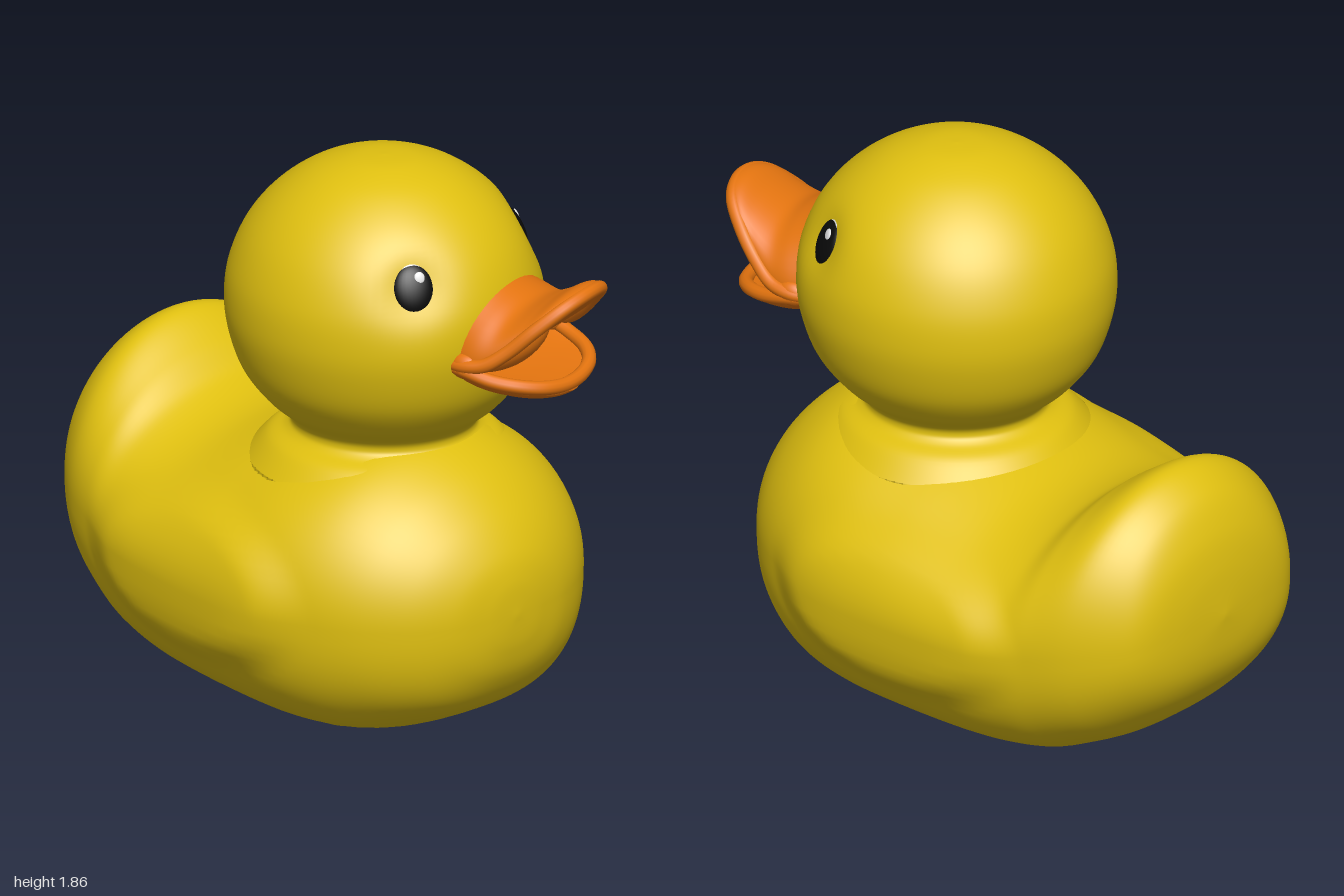
import * as THREE from 'three';

const material = (name, color) => Object.assign(new THREE.MeshStandardMaterial({ color }), { name });

// Smoothly interpolate rows of numbers (uniform Catmull-Rom in every column)
function sample(rows, steps) {
  const last = rows.length - 1, out = [];
  for (let i = 0; i <= steps; i++) {
    const f = (i / steps) * last, k = Math.min(Math.floor(f), last - 1), t = f - k;
    const a = rows[Math.max(k - 1, 0)], b = rows[k], c = rows[k + 1], d = rows[Math.min(k + 2, last)];
    out.push(b.map((_, j) => 0.5 * (2 * b[j] + (c[j] - a[j]) * t
      + (2 * a[j] - 5 * b[j] + 4 * c[j] - d[j]) * t * t
      + (3 * b[j] - a[j] - 3 * c[j] + d[j]) * t * t * t)));
  }
  return out;
}

// Closed smooth skin over a list of rings, capped at both ends
function loft(rings) {
  const n = rings[0].length, m = rings.length, index = [];
  const pts = rings.flat();
  for (const ring of [rings[0], rings[m - 1]]) {
    pts.push(ring.reduce((s, p) => s.add(p), new THREE.Vector3()).divideScalar(n));
  }
  for (let j = 0; j < n; j++) {
    const k = (j + 1) % n;
    for (let i = 0; i < m - 1; i++) {
      const a = i * n + j, b = i * n + k;
      index.push(a, b, a + n, b, b + n, a + n);
    }
    index.push(m * n, k, j, m * n + 1, (m - 1) * n + j, (m - 1) * n + k);
  }
  // Turn the skin outward if its signed volume is negative
  let volume = 0;
  const cross = new THREE.Vector3();
  for (let i = 0; i < index.length; i += 3) {
    volume += pts[index[i]].dot(cross.crossVectors(pts[index[i + 1]], pts[index[i + 2]]));
  }
  if (volume < 0) index.reverse();
  const geo = new THREE.BufferGeometry().setFromPoints(pts);
  geo.setIndex(index);
  geo.computeVertexNormals();
  return geo;
}

const ring = (n, fn) => Array.from({ length: n }, (_, i) => fn((i / n) * Math.PI * 2));
const power = (v, e) => Math.sign(v) * Math.pow(Math.abs(v), e);

// Body: sections along x, with flat base, upturned tail and raised wings
function bodyGeometry() {
  // x, bottom, top, half width, height of widest point
  const stations = [
    [-1.0, 0.54, 0.56, 0.01, 0.55], [-0.985, 0.4, 0.72, 0.2, 0.55], [-0.95, 0.3, 0.85, 0.34, 0.54],
    [-0.88, 0.2, 0.96, 0.43, 0.52], [-0.76, 0.09, 1.02, 0.515, 0.5], [-0.62, 0.01, 0.94, 0.57, 0.47],
    [-0.5, -0.04, 0.85, 0.6, 0.45], [-0.3, -0.07, 0.825, 0.635, 0.44], [0, -0.08, 0.9, 0.655, 0.43],
    [0.25, -0.08, 0.95, 0.65, 0.43], [0.45, -0.06, 0.945, 0.6, 0.43], [0.62, 0.01, 0.87, 0.51, 0.43],
    [0.75, 0.09, 0.76, 0.385, 0.43], [0.83, 0.2, 0.65, 0.25, 0.43], [0.865, 0.31, 0.55, 0.12, 0.43],
    [0.875, 0.42, 0.44, 0.01, 0.43],
  ];
  return loft(sample(stations, 120).map(([x, low, high, w, mid]) => ring(96, (a) => {
    const s = Math.sin(a), e = s > 0 ? 1 : 0.8;
    const y = Math.max(0, mid + (s > 0 ? high - mid : mid - low) * power(s, e));
    let z = w * power(Math.cos(a), e);
    const d = Math.hypot((x + 0.06) / 0.52, (y - 0.45) / 0.28);
    z += Math.sign(z) * 0.038 * (1 - THREE.MathUtils.smoothstep(d, 0.68, 1.08)) * Math.min(1, Math.abs(z) / 0.4);
    return new THREE.Vector3(x, y, z);
  })));
}

const EYE_ANGLE = Math.PI / 4, EYE_Y = 1.555;
const eyeSpot = (side, r) =>
  new THREE.Vector3(r * Math.cos(EYE_ANGLE), EYE_Y, side * r * Math.sin(EYE_ANGLE));

// Head and neck: turned profile with shallow eye sockets
function headGeometry() {
  const profile = [
    [0.46, 0.8], [0.39, 0.875], [0.33, 0.905], [0.31, 0.93], [0.325, 0.965], [0.4, 1.03], [0.475, 1.13],
    [0.517, 1.25], [0.53, 1.36], [0.515, 1.48], [0.46, 1.61], [0.37, 1.72], [0.25, 1.805], [0.12, 1.85], [0.005, 1.86],
  ];
  const sockets = [1, -1].map((side) => eyeSpot(side, 0.47));
  return loft(sample(profile, 90).map(([r, y]) => ring(96, (a) => {
    const p = new THREE.Vector3(r * Math.cos(a), y, 0.97 * r * Math.sin(a));
    for (const spot of sockets) {
      const dent = 0.035 * Math.exp(-Math.pow(p.distanceTo(spot) / 0.11, 2));
      p.x -= Math.cos(a) * dent;
      p.z -= Math.sin(a) * dent;
    }
    return p;
  })));
}

// Bill half: stations are centre x, edge x, half width, edge y, top y, underside y
function billHalf(name, stations, mat) {
  const group = new THREE.Group();
  group.name = name;
  const rows = sample(stations, 40);
  const shell = new THREE.Mesh(loft(rows.map(([xc, xe, w, ye, top, under]) => ring(48, (a) => {
    const s = Math.sin(a), h = Math.abs(s);
    return new THREE.Vector3(xe + (xc - xe) * h, ye + ((s > 0 ? top : under) - ye) * h, w * Math.cos(a));
  }))), mat);
  shell.name = name + 'Shell';
  // Rounded lip around the open edge
  const edge = (side) => stations.map(([, xe, w, ye]) => new THREE.Vector3(xe, ye, side * w));
  const path = new THREE.CatmullRomCurve3([...edge(1), ...edge(-1).reverse()]);
  const lip = new THREE.Mesh(new THREE.TubeGeometry(path, 80, 0.024, 12), mat);
  lip.name = name + 'Lip';
  group.add(shell, lip);
  return group;
}

export function createModel() {
  const yellow = material('duckYellow', 0xe0c010);
  const orange = material('billOrange', 0xe4740f);
  const black = material('eyeBlack', 0x0a0a0a);
  const white = material('eyeWhite', 0xe4e4e4);

  const model = new THREE.Group();
  model.name = 'bathDuck';
  const add = (parent, name, geo, mat, pos = [0, 0, 0], scale = [1, 1, 1]) => {
    const mesh = new THREE.Mesh(geo, mat);
    mesh.name = name;
    mesh.position.set(...pos);
    mesh.scale.set(...scale);
    parent.add(mesh);
    return mesh;
  };
  const ball = new THREE.SphereGeometry(1, 32, 24);

  add(model, 'body', bodyGeometry(), yellow);

  // Head group, turned a little to one side
  const head = new THREE.Group();
  head.name = 'headGroup';
  head.position.x = 0.215;
  head.rotation.y = 0.28;
  model.add(head);
  add(head, 'head', headGeometry(), yellow);

  // Eyes: dark ovals with a pale upper rim and a glint
  for (const side of [1, -1]) {
    const eye = new THREE.Group();
    eye.name = side > 0 ? 'rightEye' : 'leftEye';
    eye.position.copy(eyeSpot(side, 0.435));
    eye.rotation.order = 'YXZ';
    eye.rotation.set(-0.38, Math.PI / 2 - side * EYE_ANGLE, 0);
    add(eye, 'eyeRim', ball, white, [0, 0.012, -0.004], [0.073, 0.088, 0.03]);
    add(eye, 'pupil', ball, black, [0, 0, 0], [0.073, 0.088, 0.034]);
    add(eye, 'glint', ball, white, [0.018, 0.036, 0.028], [0.018, 0.02, 0.006]);
    head.add(eye);
  }

  // Open bill
  head.add(billHalf('upperBill', [
    [0.44, 0.40, 0.25, 1.30, 1.55, 1.34], [0.53, 0.48, 0.265, 1.305, 1.51, 1.36],
    [0.60, 0.55, 0.255, 1.32, 1.49, 1.37], [0.68, 0.62, 0.225, 1.37, 1.52, 1.41],
    [0.75, 0.70, 0.18, 1.45, 1.56, 1.47], [0.795, 0.765, 0.115, 1.515, 1.565, 1.515],
    [0.805, 0.79, 0.04, 1.54, 1.555, 1.53],
  ], orange));
  head.add(billHalf('lowerBill', [
    [0.42, 0.40, 0.25, 1.295, 1.27, 1.19], [0.50, 0.49, 0.26, 1.285, 1.25, 1.17],
    [0.58, 0.57, 0.245, 1.265, 1.235, 1.165], [0.66, 0.65, 0.205, 1.25, 1.225, 1.165],
    [0.715, 0.705, 0.14, 1.235, 1.22, 1.175], [0.74, 0.73, 0.05, 1.222, 1.215, 1.19],
  ], orange));
  add(head, 'throat', ball, orange, [0.44, 1.31, 0], [0.13, 0.1, 0.25]);
  for (const side of [1, -1]) {
    add(head, 'billCorner', ball, orange, [0.475, 1.3, side * 0.25], [0.06, 0.045, 0.035]);
  }
  return model;
}
